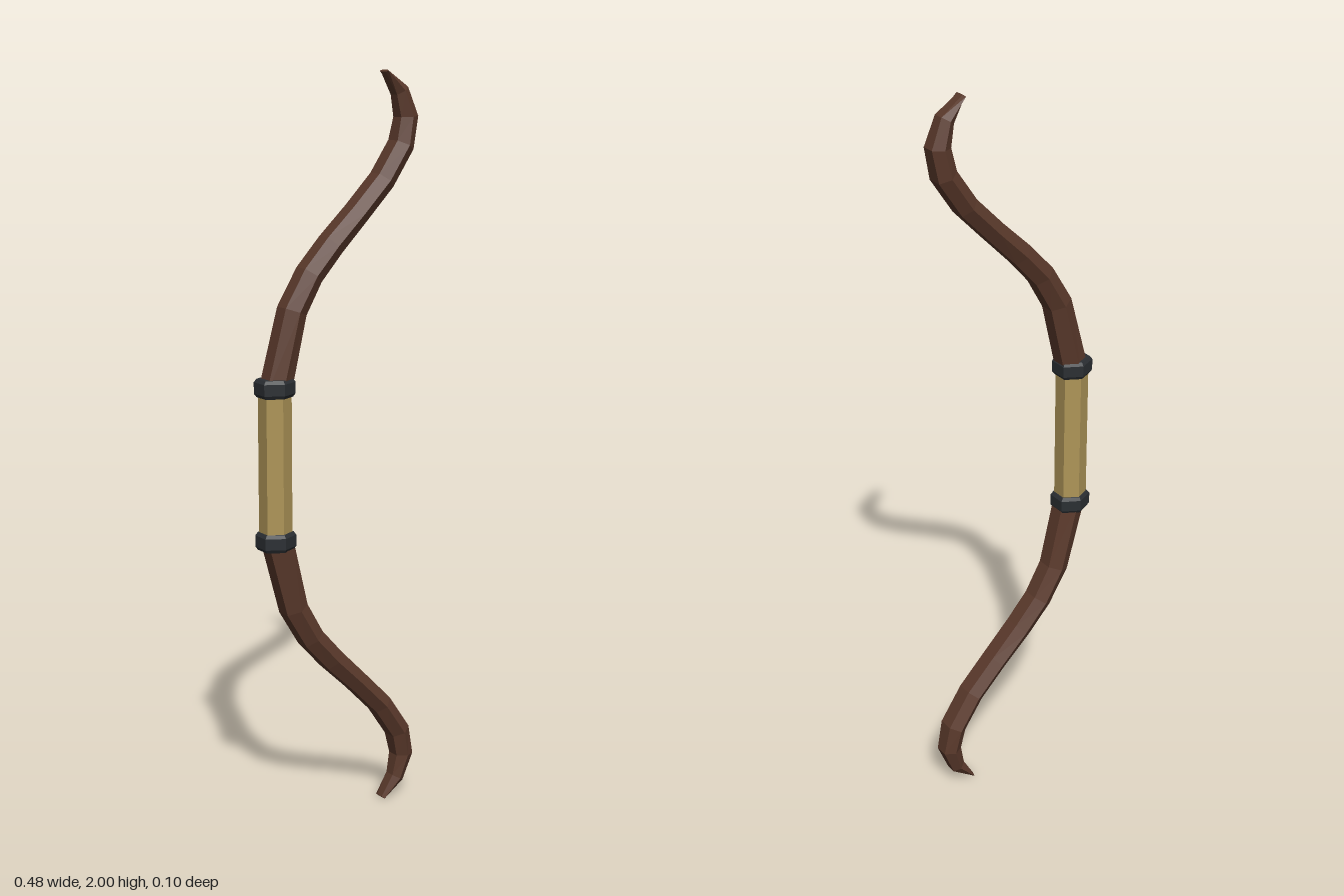
import * as THREE from 'three';

// Hexagonal loft through sections [x, y, half thickness, half width in z]
function hexLoft(sections) {
  const corners = [[0, 1], [1, 0.52], [1, -0.52], [0, -1], [-1, -0.52], [-1, 0.52]];
  const positions = [];
  const indices = [];
  const last = sections.length - 1;
  sections.forEach(([x, y, t, w], i) => {
    const a = sections[Math.max(i - 1, 0)];
    const b = sections[Math.min(i + 1, last)];
    // the first section always lies level
    const dir = i === 0 ? new THREE.Vector2(0, 1) : new THREE.Vector2(b[0] - a[0], b[1] - a[1]).normalize();
    for (const [n, z] of corners) positions.push(x + dir.y * n * t, y - dir.x * n * t, z * w);
  });
  for (let i = 0; i < last; i++) {
    for (let j = 0; j < 6; j++) {
      const a = i * 6 + j;
      const b = i * 6 + (j + 1) % 6;
      indices.push(a, b, b + 6, a, b + 6, a + 6);
    }
  }
  // end caps
  for (let j = 1; j < 5; j++) {
    indices.push(0, j + 1, j);
    indices.push(last * 6, last * 6 + j, last * 6 + j + 1);
  }
  const indexed = new THREE.BufferGeometry();
  indexed.setAttribute('position', new THREE.Float32BufferAttribute(positions, 3));
  indexed.setIndex(indices);
  const geometry = indexed.toNonIndexed();
  geometry.computeVertexNormals();
  return geometry;
}

export function createModel() {
  const material = (color) => new THREE.MeshStandardMaterial({ color, flatShading: true });
  const wood = material(0x5a392b);
  const wrap = material(0xae9558);
  const iron = material(0x2b2f33);

  const model = new THREE.Group();
  model.name = 'bow';
  const add = (parent, name, geometry, mat) => {
    const mesh = new THREE.Mesh(geometry, mat);
    mesh.name = name;
    parent.add(mesh);
  };

  const gripX = -0.196;

  // Heights below are measured from the middle of the bow
  const limb = hexLoft([
    [gripX, 0.19, 0.038, 0.041],
    [-0.143, 0.397, 0.033, 0.041],
    [-0.09, 0.487, 0.031, 0.041],
    [-0.024, 0.56, 0.03, 0.041],
    [0.056, 0.638, 0.028, 0.041],
    [0.135, 0.719, 0.028, 0.041],
    [0.195, 0.808, 0.028, 0.041],
    [0.21, 0.88, 0.027, 0.035],
    [0.189, 0.946, 0.02, 0.028],
    [0.141, 0.997, 0.004, 0.021],
  ]);

  // Bevelled collar between grip and limb
  const collar = hexLoft([
    [gripX, 0.179, 0.041, 0.044],
    [gripX, 0.188, 0.047, 0.05],
    [gripX, 0.218, 0.047, 0.05],
    [gripX, 0.227, 0.041, 0.044],
  ]);

  // Upper half, then the same half turned over for the lower one
  for (const side of ['upper', 'lower']) {
    const half = new THREE.Group();
    half.name = side + 'Half';
    half.position.y = 1;
    if (side === 'lower') half.rotation.x = Math.PI;
    add(half, side + 'Limb', limb, wood);
    add(half, side + 'Collar', collar, iron);
    model.add(half);
  }

  add(model, 'grip', hexLoft([
    [gripX, 0.8, 0.038, 0.041],
    [gripX, 1.2, 0.038, 0.041],
  ]), wrap);

  return model;
}
